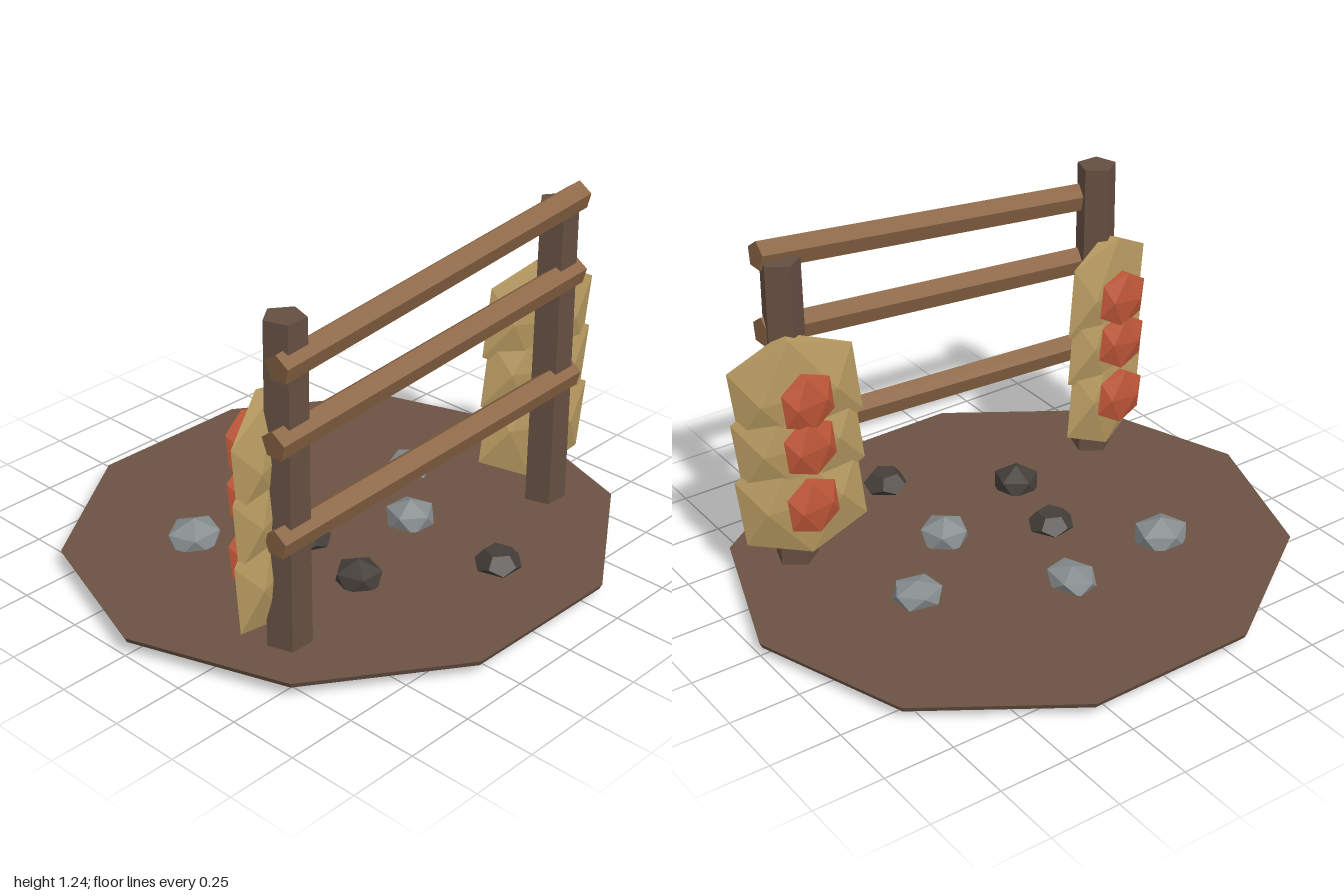
import * as THREE from 'three';

const paint = (name, color) => {
  const m = new THREE.MeshStandardMaterial({ color, flatShading: true });
  m.name = name;
  return m;
};

export function createModel() {
  const mats = {
    soil: paint('soil brown', 0x6b5344),
    post: paint('dark wood', 0x654f42),
    rail: paint('rail wood', 0x8b6544),
    straw: paint('straw tan', 0xb5985f),
    red: paint('brick red', 0xbf5638),
    stone: paint('grey stone', 0x878d8f),
    coal: paint('dark stone', 0x443e39),
  };
  const root = new THREE.Group();
  root.name = 'fenceScene';

  const add = (name, geometry, material, x, y, z, parent = root) => {
    const mesh = new THREE.Mesh(geometry, material);
    mesh.name = name;
    mesh.position.set(x, y, z);
    parent.add(mesh);
    return mesh;
  };

  // Angle between a vertex of a unit icosahedron and the nearest axis
  const TILT = Math.atan(2 / (1 + Math.sqrt(5)));
  const AXIS = Math.cos(TILT);

  // Upright hexagonal-looking nugget, given half sizes
  const nugget = (hx, hy, hz) =>
    new THREE.IcosahedronGeometry(1, 0).rotateZ(Math.PI / 2).scale(hx / AXIS, hy / AXIS, hz / AXIS);

  // Ten-sided ground plate, slightly lower towards +x
  const ground = new THREE.CylinderGeometry(1, 0.99, 0.02, 10, 1, false, Math.PI / 2);
  ground.scale(1, 1, 0.936);
  const p = ground.attributes.position;
  for (let i = 0; i < p.count; i++) p.setY(i, p.getY(i) - 0.01 * p.getX(i));
  add('ground', ground, mats.soil, 0, 0.048, 0);

  // Five-sided posts, each with straw bundles and red knobs behind
  for (const side of [-1, 1]) {
    const label = side > 0 ? 'left' : 'right';
    const top = side > 0 ? 1.18 : 1.195;
    const post = new THREE.CylinderGeometry(0.07, 0.077, top - 0.035, 5, 1, false, Math.PI);
    add(label + 'Post', post, mats.post, 0.64 * side, (top + 0.035) / 2, 0.375);

    const bundle = new THREE.Group();
    bundle.name = label + 'Bundle';
    root.add(bundle);
    [[0.73, 0.73], [0.54, 0.56], [0.32, 0.335]].forEach(([strawY, redY]) => {
      const straw = add('straw', nugget(0.212, 0.205, 0.05), mats.straw, 0.645 * side, strawY, 0.308, bundle);
      straw.rotation.set(0, -0.28 * side, -0.11 * side);
      const knob = add('redKnob', nugget(0.092, 0.1, 0.031), mats.red, 0.648 * side, redY, 0.222, bundle);
      knob.rotation.z = -0.11 * side;
    });
  }

  // Sloping five-sided rails: left x, left y, right x, right y
  [
    [-0.712, 1.058, 0.703, 1.194],
    [-0.732, 0.812, 0.703, 0.922],
    [-0.732, 0.472, 0.703, 0.534],
  ].forEach(([x0, y0, x1, y1]) => {
    const geo = new THREE.CylinderGeometry(0.05, 0.05, Math.hypot(x1 - x0, y1 - y0), 5, 1, false, Math.PI / 2);
    geo.rotateZ(Math.PI / 2);
    const rail = add('rail', geo, mats.rail, (x0 + x1) / 2, (y0 + y1) / 2, 0.415);
    rail.rotation.z = Math.atan2(y1 - y0, x1 - x0);
  });

  // Scattered stones: material, x, z, half width, half height, half depth, turn
  [
    ['stone', -0.44, -0.285, 0.1, 0.072, 0.09, 0.3],
    ['stone', -0.03, -0.315, 0.08, 0.047, 0.1, 0.5],
    ['stone', 0.445, -0.085, 0.09, 0.048, 0.084, 0.1],
    ['stone', 0.17, 0.16, 0.088, 0.07, 0.088, 0.9],
    ['coal', -0.235, 0.295, 0.082, 0.07, 0.084, 0.3],
    ['coal', -0.175, 0.0, 0.081, 0.046, 0.081, 0.2],
    ['coal', 0.155, 0.57, 0.081, 0.046, 0.081, 0.6],
  ].forEach(([mat, x, z, hx, hy, hz, turn]) => {
    const flatTop = mat === 'coal' && hy < 0.05;
    const geo = flatTop
      ? new THREE.DodecahedronGeometry(1, 0).rotateX(TILT).scale(1, 1.25, 1)
      : new THREE.IcosahedronGeometry(1, 0).rotateZ(-TILT).scale(1.08, 1, 1.08);
    geo.rotateY(turn).scale(hx, hy, hz);
    add(mat === 'coal' ? 'darkStone' : 'greyStone', geo, mats[mat], x, 0.073, z);
  });

  return root;
}
